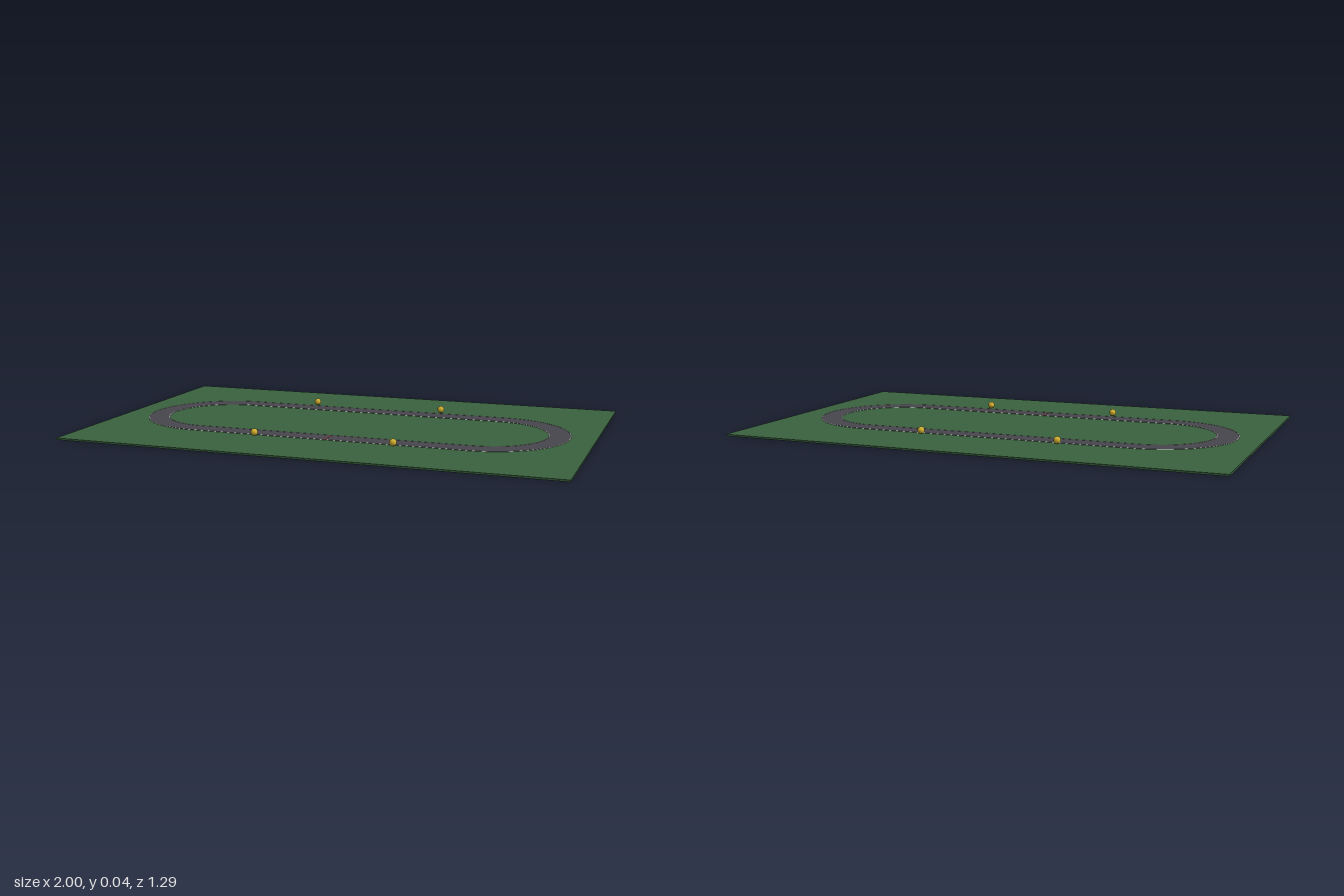
import * as THREE from 'three';

const HALF = 0.571;                 // half length of the straights
const INNER = 0.243, OUTER = 0.329; // bend radii of the track edges
const TOP = 0.0071;                 // top of the ground slab

const paint = (color) => new THREE.MeshStandardMaterial({ color });

// Stadium outline: two straights joined by half circles
function stadium(path, r) {
  path.moveTo(-HALF, -r);
  path.lineTo(HALF, -r);
  path.absarc(HALF, 0, r, -Math.PI / 2, Math.PI / 2, false);
  path.lineTo(-HALF, r);
  path.absarc(-HALF, 0, r, Math.PI / 2, Math.PI * 1.5, false);
  return path;
}

// Flat oval band lying on the ground
function band(name, inner, outer, height, material) {
  const shape = stadium(new THREE.Shape(), outer);
  shape.holes.push(stadium(new THREE.Path(), inner));
  const geo = new THREE.ExtrudeGeometry(shape, { depth: height, bevelEnabled: false, curveSegments: 48 });
  geo.rotateX(-Math.PI / 2);
  const mesh = new THREE.Mesh(geo, material);
  mesh.name = name;
  mesh.position.y = TOP;
  return mesh;
}

export function createModel() {
  const model = new THREE.Group();
  model.name = 'ovalTrack';

  // Grass slab
  const ground = new THREE.Mesh(new THREE.BoxGeometry(2, TOP, 1.286), paint(0x3a613e));
  ground.name = 'ground';
  ground.position.y = TOP / 2;
  model.add(ground);

  // Asphalt and its pale edge lines
  const white = paint(0xe8e8e8);
  const w = 0.0015;
  model.add(
    band('trackSurface', INNER, OUTER, 0.0007, paint(0x47464c)),
    band('innerEdgeLine', INNER - w, INNER + w, 0.0014, white),
    band('outerEdgeLine', OUTER - w, OUTER + w, 0.0014, white)
  );

  // Finish line across the front straight
  const finish = new THREE.Mesh(new THREE.BoxGeometry(0.005, 0.0014, OUTER - INNER), paint(0xb04040));
  finish.name = 'finishLine';
  finish.position.set(0, TOP + 0.0008, (INNER + OUTER) / 2);
  model.add(finish);

  // Lamp balls beside the straights
  const ballGeo = new THREE.SphereGeometry(0.0143, 20, 14);
  const gold = paint(0xd4b030);
  for (const x of [-0.286, 0.286]) {
    for (const z of [-0.35, 0.35]) {
      const ball = new THREE.Mesh(ballGeo, gold);
      ball.name = 'lampBall';
      ball.position.set(x, 0.0225, z);
      model.add(ball);
    }
  }
  return model;
}
